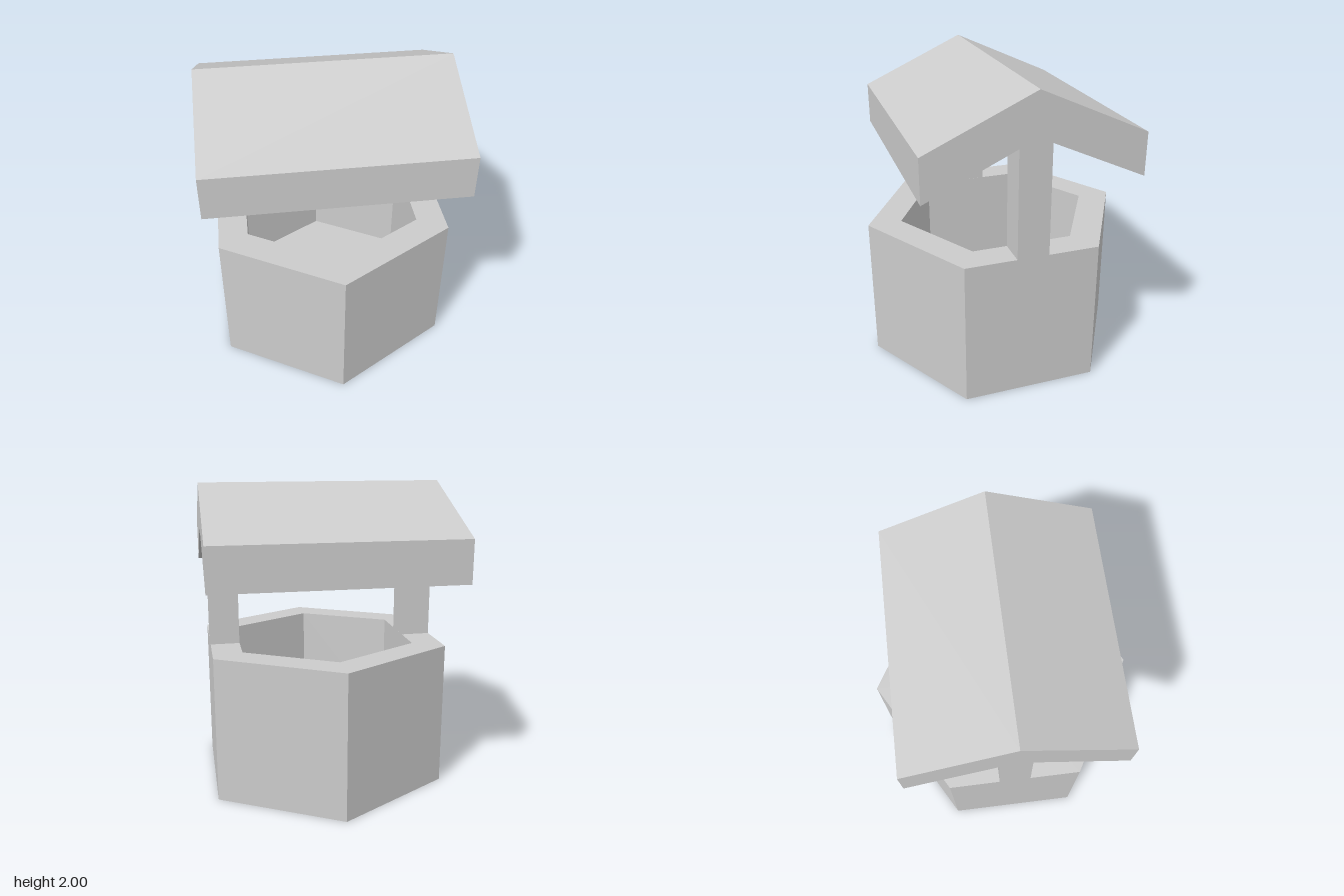
import * as THREE from 'three';

const WALL_R = 0.87, WALL_H = 0.955, INNER_R = 0.65, FLOOR_Y = 0.19;
const POST_W = 0.19, POST_HALF_Z = 0.103;
const EAVE = 0.687, RIDGE = 2, EAVE_TOP = 1.688, UNDER_RIDGE = 1.725, EAVE_BOTTOM = 1.41;
const CX = 0.011, CZ = 0.003;

const material = new THREE.MeshStandardMaterial({ color: 0xcccccc, flatShading: true });

// Extrudes a (z, y) profile along x, centred on x = 0
function extrudeAlongX(points, length) {
  const shape = new THREE.Shape(points.map(([z, y]) => new THREE.Vector2(-z, y)));
  const geometry = new THREE.ExtrudeGeometry(shape, { depth: length, bevelEnabled: false });
  return geometry.translate(0, 0, -length / 2).rotateY(Math.PI / 2);
}

function addPart(group, name, geometry, x, z) {
  const mesh = new THREE.Mesh(geometry, material);
  mesh.name = name;
  mesh.position.set(x, 0, z);
  group.add(mesh);
}

export function createModel() {
  const group = new THREE.Group();
  group.name = 'well';

  // Hollow six-sided wall with a floor, corners pointing to front and back
  const profile = [
    [0, 0], [WALL_R, 0], [WALL_R, WALL_H],
    [INNER_R, WALL_H], [INNER_R, FLOOR_Y], [0, FLOOR_Y],
  ].map(([r, y]) => new THREE.Vector2(r, y));
  addPart(group, 'wellWall', new THREE.LatheGeometry(profile, 6), CX, CZ);

  // Posts standing on the side walls, their tops cut to the slope of the roof
  const slope = (UNDER_RIDGE - EAVE_BOTTOM) / EAVE;
  const shoulder = UNDER_RIDGE - slope * POST_HALF_Z;
  const postProfile = [
    [-POST_HALF_Z, WALL_H], [POST_HALF_Z, WALL_H], [POST_HALF_Z, shoulder],
    [0, UNDER_RIDGE], [-POST_HALF_Z, shoulder],
  ];
  const postX = WALL_R * Math.cos(Math.PI / 6) - POST_W / 2;
  for (const [name, side] of [['leftPost', 1], ['rightPost', -1]]) {
    addPart(group, name, extrudeAlongX(postProfile, POST_W), CX + side * postX, CZ);
  }

  // Thick gabled roof
  const roofProfile = [
    [-EAVE, EAVE_BOTTOM], [0, UNDER_RIDGE], [EAVE, EAVE_BOTTOM],
    [EAVE, EAVE_TOP], [0, RIDGE], [-EAVE, EAVE_TOP],
  ];
  addPart(group, 'roof', extrudeAlongX(roofProfile, 1.602), 0, CZ);

  return group;
}
